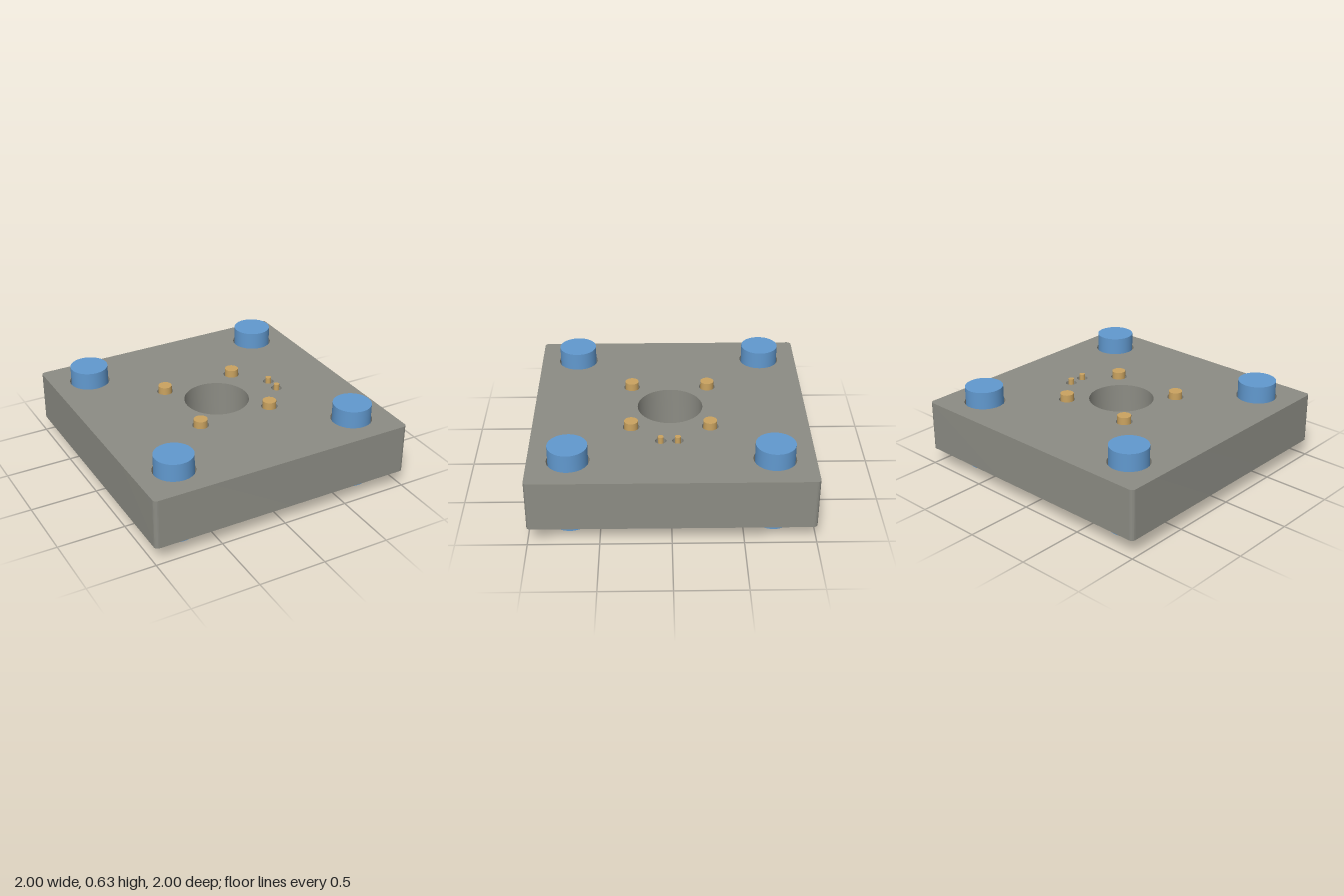
import * as THREE from 'three';
import { toCreasedNormals } from 'three/addons/utils/BufferGeometryUtils.js';

const paint = (name, color) => {
  const m = new THREE.MeshStandardMaterial({ color });
  m.name = name;
  return m;
};

export function createModel() {
  const grey = paint('plate grey', 0x8c8c84);
  const blue = paint('pillar blue', 0x6199cf);
  const brass = paint('brass', 0xcaa360);
  const green = paint('board green', 0x2e9d5e);
  const teal = paint('board underside teal', 0x55b8c0);
  const black = paint('connector black', 0x222222);

  const model = new THREE.Group();
  const BOTTOM = 0.13, TOP = 0.505;
  const corners = [[1, 1], [1, -1], [-1, 1], [-1, -1]];
  const pillarSpots = corners.map(([x, z]) => [x * 0.715, z * 0.715]);
  const pinSpots = corners.map(([x, z]) => [x * 0.285, z * 0.285]);
  const contactSpots = [[0.475, -0.048], [0.475, 0.073]];

  const add = (name, geometry, material) => {
    const mesh = new THREE.Mesh(geometry, material);
    mesh.name = name;
    model.add(mesh);
    return mesh;
  };

  // Upright cylinder between two heights
  const post = (name, x, z, radius, y0, y1, material, sides = 48) =>
    add(name, new THREE.CylinderGeometry(radius, radius, y1 - y0, sides), material)
      .position.set(x, (y0 + y1) / 2, z);

  // Square plate with rounded corners and through holes
  const outline = new THREE.Shape();
  const r = 0.03, c = 1 - r;
  outline.absarc(c, c, r, 0, Math.PI / 2);
  outline.absarc(-c, c, r, Math.PI / 2, Math.PI);
  outline.absarc(-c, -c, r, Math.PI, Math.PI * 1.5);
  outline.absarc(c, -c, r, Math.PI * 1.5, Math.PI * 2);
  const drill = (x, z, radius) =>
    outline.holes.push(new THREE.Path().absarc(x, -z, radius, 0, Math.PI * 2, true));
  drill(0, 0, 0.24);
  pillarSpots.forEach(([x, z]) => drill(x, z, 0.15));
  pinSpots.forEach(([x, z]) => drill(x, z, 0.06));
  contactSpots.forEach(([x, z]) => drill(x, z, 0.04));
  const plate = new THREE.ExtrudeGeometry(outline, {
    depth: TOP - BOTTOM, bevelEnabled: false, curveSegments: 24,
  });
  plate.rotateX(-Math.PI / 2).translate(0, BOTTOM, 0);
  add('plate', toCreasedNormals(plate, 0.6), grey);

  // Round board closing the holes from below
  post('board', 0, 0, 0.57, BOTTOM - 0.003, BOTTOM + 0.004, [teal, green, teal], 72);

  // Corner pillars, pins and contacts
  pillarSpots.forEach(([x, z]) => post('cornerPillar', x, z, 0.14, 0.005, 0.63, blue));
  pinSpots.forEach(([x, z]) => post('pin', x, z, 0.05, 0, 0.555, brass, 32));
  contactSpots.forEach(([x, z]) => post('smallContact', x, z, 0.021, 0.1, 0.54, brass, 20));
  post('centreButton', 0, 0, 0.11, 0.09, BOTTOM, brass);

  // Connector block under the contacts
  add('connector', new THREE.BoxGeometry(0.255, 0.125, 0.305), black)
    .position.set(0.5825, 0.0675, 0.0175);

  return model;
}
